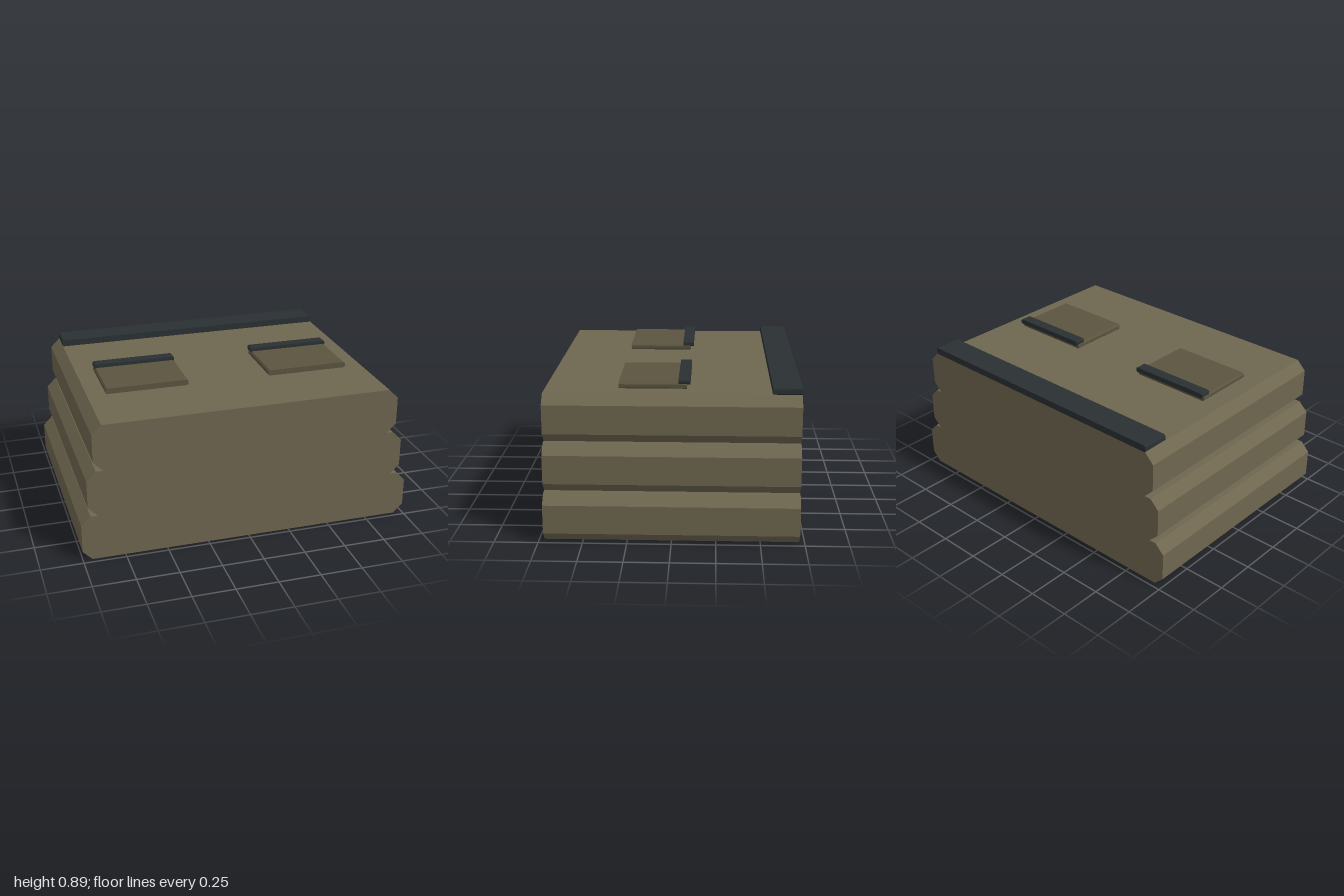
import * as THREE from 'three';

const material = (color) => new THREE.MeshStandardMaterial({ color, flatShading: true });

// Solid with a mirrored (x, y) half profile, listed bottom to top, running from zBack to zFront
function prism(name, half, zBack, zFront, mat) {
  const left = half.map(([x, y]) => [-x, y]).reverse();
  const shape = new THREE.Shape([...half, ...left].map(([x, y]) => new THREE.Vector2(x, y)));
  const geometry = new THREE.ExtrudeGeometry(shape, { depth: zFront - zBack, bevelEnabled: false });
  geometry.translate(0, 0, zBack);
  const mesh = new THREE.Mesh(geometry, mat);
  mesh.name = name;
  return mesh;
}

// Half profile of a layer with chamfered corners
const chamfered = (w, y0, y1, c) => [[w - c, y0], [w, y0 + c], [w, y1 - c], [w - c, y1]];

export function createModel() {
  const group = new THREE.Group();
  group.name = 'steppedChest';
  const bodyMat = material(0x6e664f);
  const panelMat = material(0x5a5440);
  const darkMat = material(0x2a3032);

  // Body: three stacked tiers, each narrower than the one below
  const tierHeight = 0.835 / 3;
  const profile = [1, 0.957, 0.915].flatMap((w, i) =>
    chamfered(w, i * tierHeight, (i + 1) * tierHeight, 0.056));
  group.add(prism('body', profile, -0.72, 0.72, bodyMat));

  // Dark strip along the back of the top
  group.add(prism('backStrip', chamfered(0.86, 0.833, 0.875, 0.008), -0.72, -0.557, darkMat));

  // Pair of raised panels, each with a dark bar at its rear edge
  for (const [side, s] of [['left', 1], ['right', -1]]) {
    const hatch = new THREE.Group();
    hatch.name = side + 'Hatch';
    hatch.position.x = s * 0.5;
    hatch.add(
      prism('panel', chamfered(0.25, 0.833, 0.869, 0.009), -0.08, 0.305, panelMat),
      prism('bar', chamfered(0.25, 0.86, 0.89, 0.007), -0.1, -0.033, darkMat));
    group.add(hatch);
  }
  return group;
}
